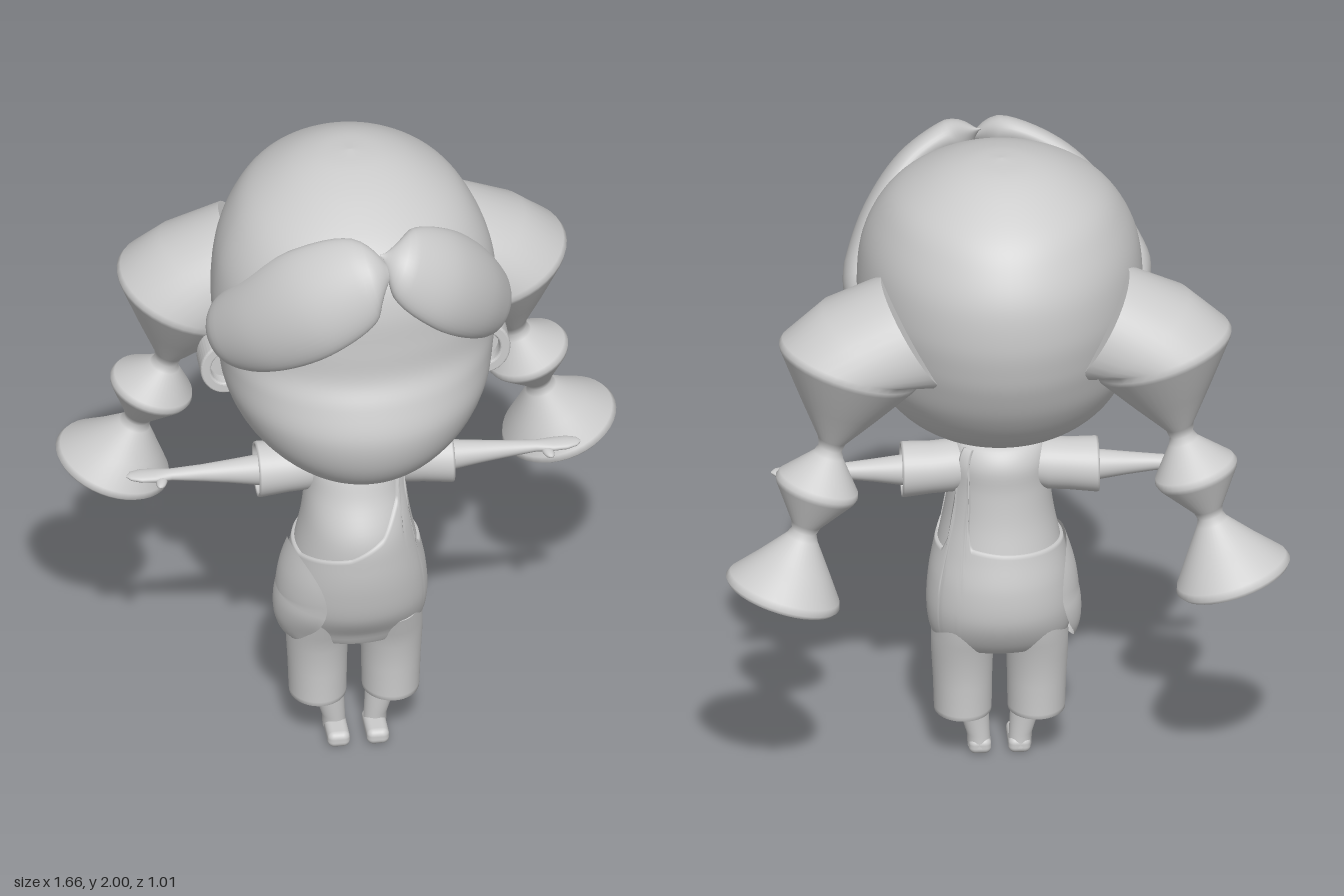
import * as THREE from 'three';
import { RoundedBoxGeometry } from 'three/addons/geometries/RoundedBoxGeometry.js';

const V = (a) => new THREE.Vector3(...a);
const grey = new THREE.MeshStandardMaterial({ color: 0xcccccc });
const greyThin = new THREE.MeshStandardMaterial({ color: 0xcccccc, side: THREE.DoubleSide });

function add(parent, name, geometry, material = grey) {
  const mesh = new THREE.Mesh(geometry, material);
  mesh.name = name;
  parent.add(mesh);
  return mesh;
}

// Skin closed rings of points into one surface, with optional flat end caps
function loft(rings, caps = true) {
  const n = rings[0].length, pos = [], idx = [];
  rings.forEach((r) => r.forEach((p) => pos.push(p.x, p.y, p.z)));
  for (let i = 0; i < rings.length - 1; i++) {
    for (let j = 0; j < n; j++) {
      const a = i * n + j, b = i * n + (j + 1) % n;
      idx.push(a, b, b + n, a, b + n, a + n);
    }
  }
  if (caps) {
    [rings[0], rings[rings.length - 1]].forEach((ring, end) => {
      const base = pos.length / 3;
      const mid = ring.reduce((s, p) => s.add(p), new THREE.Vector3()).divideScalar(n);
      [...ring, mid].forEach((p) => pos.push(p.x, p.y, p.z));
      for (let j = 0; j < n; j++) {
        const a = base + j, b = base + (j + 1) % n;
        idx.push(base + n, ...(end ? [a, b] : [b, a]));
      }
    });
  }
  const g = new THREE.BufferGeometry();
  g.setAttribute('position', new THREE.Float32BufferAttribute(pos, 3));
  g.setIndex(idx);
  g.computeVertexNormals();
  return g;
}

// Elliptical ring around direction t; ru lies along ref, rv across it; sag bends the ring
function ring(c, t, ru, rv, ref = V([0, 0, 1]), sag = 0, n = 40) {
  const T = t.clone().normalize();
  const U = ref.clone().addScaledVector(T, -ref.dot(T)).normalize();
  const W = new THREE.Vector3().crossVectors(T, U);
  return Array.from({ length: n }, (_, j) => {
    const a = j / n * Math.PI * 2, w = rv * Math.sin(a);
    return c.clone().addScaledVector(U, ru * Math.cos(a) - sag * w * w).addScaledVector(W, w);
  });
}

// Section table [y, front z, back z, half width, z of widest point] -> point at height and angle
function surface(rows) {
  const c1 = new THREE.CatmullRomCurve3(rows.map((r) => V(r.slice(0, 3))), false, 'catmullrom');
  const c2 = new THREE.CatmullRomCurve3(rows.map((r) => V([r[3], r[4], 0])), false, 'catmullrom');
  const at = (t, ang, off = 0) => {
    const p = c1.getPoint(t), q = c2.getPoint(t), c = Math.cos(ang);
    const depth = c > 0 ? p.y - q.y : q.y - p.z;
    return V([(Math.max(q.x, 0.001) + off) * Math.sin(ang), p.x, q.y + (Math.max(depth, 0.001) + off) * c]);
  };
  const atY = (y, ang, off) => {
    let i = 0;
    while (i < rows.length - 2 && rows[i + 1][0] < y) i++;
    return at((i + (y - rows[i][0]) / (rows[i + 1][0] - rows[i][0])) / (rows.length - 1), ang, off);
  };
  const rings = (steps, n) => Array.from({ length: steps + 1 }, (_, i) =>
    Array.from({ length: n }, (_, j) => at(i / steps, j / n * Math.PI * 2)));
  return { atY, rings };
}

const head = surface([
  [1.055, .28, .02, .10, .15], [1.07, .36, -.06, .18, .14], [1.12, .435, -.17, .265, .12],
  [1.2, .485, -.28, .34, .11], [1.3, .503, -.36, .388, .1], [1.4, .475, -.41, .405, .09],
  [1.48, .44, -.435, .415, .08], [1.58, .435, -.45, .42, .07], [1.7, .43, -.44, .405, .06],
  [1.8, .4, -.395, .365, .04], [1.88, .33, -.33, .305, .01], [1.95, .2, -.225, .205, -.01],
  [1.988, .08, -.13, .105, -.02], [2.0, -.019, -.021, .002, -.02]]);

const body = surface([
  [.35, .1, .03, .06, .065], [.37, .17, -.03, .16, .065], [.42, .2, -.075, .195, .065],
  [.5, .25, -.11, .207, .07], [.6, .275, -.112, .2, .08], [.7, .285, -.09, .18, .09],
  [.8, .28, -.068, .16, .09], [.9, .23, -.058, .148, .08], [.98, .2, -.058, .145, .075],
  [1.03, .165, -.03, .125, .07], [1.05, .13, .01, .08, .07]]);

// Upper edge of the one-shouldered overalls: [angle, height]
const edge = [[-3.15, .72], [-1.2, .7], [-.2, .745], [.37, .8], [.8, .89], [.88, 1.03], [1.08, 1.03],
  [1.15, .73], [1.3, .7], [2, .7], [2.1, .75], [2.15, 1.03], [2.45, 1.03], [2.5, .8], [2.6, .73], [3.15, .72]];
function edgeHeight(a) {
  const i = edge.findIndex((e, k) => k < edge.length - 1 && a <= edge[k + 1][0]);
  const [p, q] = [edge[i], edge[i + 1]];
  return THREE.MathUtils.lerp(p[1], q[1], (a - p[0]) / (q[0] - p[0]));
}

function overalls() {
  const n = 180, steps = 30, rings = [];
  for (let i = 0; i <= steps; i++) {
    rings.push(Array.from({ length: n }, (_, j) => {
      const a = (j / n * 2 - 1) * Math.PI;
      return body.atY(THREE.MathUtils.lerp(.38, edgeHeight(a), i / steps), a, .008);
    }));
  }
  // turn the upper edge in towards the shirt
  rings.push(rings[steps].map((p, j) => body.atY(p.y, (j / n * 2 - 1) * Math.PI, -.004)));
  return loft(rings, false);
}

// Oval bag following the hip, flaring at its lower end
function bag() {
  const rings = [];
  for (let i = 0; i <= 12; i++) {
    const r = Math.max(1 - i / 12, .001);
    rings.push(Array.from({ length: 48 }, (_, j) => {
      const a = j / 48 * Math.PI * 2, dy = r * Math.sin(a);
      return body.atY(.54 + .165 * dy, -1.35 + .85 * r * Math.cos(a), .016 + .012 * (1 - r * r) + .025 * Math.max(0, -dy));
    }));
  }
  return loft(rings, false);
}

// Leaf-shaped lock of the fringe along a path over the brow
function lock(points, widths) {
  const path = new THREE.CatmullRomCurve3(points.map(V), false, 'catmullrom');
  const width = new THREE.SplineCurve(widths.map((w, i) => new THREE.Vector2(i, w)));
  const middle = V([0, 1.5, 0]), rings = [];
  for (let i = 0; i <= 36; i++) {
    const t = i / 36, c = path.getPoint(t), w = Math.max(width.getPoint(t).y, .003);
    rings.push(ring(c, path.getTangent(t), Math.min(.055, w * .5), w, c.clone().sub(middle), 1.1));
  }
  return loft(rings);
}

// Beaded ponytail: [centre, axis, radius]; s mirrors it
function ponytail(s) {
  const dz = s > 0 ? -.012 : .012, d = [-.3, -.95, -.1];
  const rows = [
    [[-.27, 1.53, -.19], [-.86, -.5, 0], .19], [[-.37, 1.5, -.195], [-.55, -.8, 0], .207],
    [[-.452, 1.455, -.2], d, .214], [[-.46, 1.44, -.202], d, .216], [[-.464, 1.425, -.204], d, .209],
    [[-.49, 1.3, -.212], d, .12], [[-.512, 1.195, -.22], d, .042], [[-.517, 1.17, -.222], d, .036],
    [[-.522, 1.15, -.226], d, .045], [[-.552, 1.075, -.25], d, .12], [[-.558, 1.06, -.252], d, .126],
    [[-.563, 1.045, -.255], d, .12], [[-.592, .95, -.275], d, .045], [[-.597, .93, -.28], d, .038],
    [[-.603, .91, -.284], d, .047], [[-.63, .835, -.302], d, .11], [[-.657, .77, -.32], d, .168],
    [[-.663, .753, -.324], d, .175], [[-.667, .742, -.327], d, .165]];
  const flip = ([x, y, z]) => V([-s * x, y, z]);
  return loft(rows.map(([c, t, r]) => ring(flip(c).add(V([0, 0, dz])), flip(t), r, r)));
}

// Sideways limb parts: [x, y, z, depth radius, height radius]
const limb = (rows, s) => loft(rows.map(([x, y, z, rz, ry]) => ring(V([s * x, y, z]), V([s, 0, 0]), rz, ry)));
// Upright parts: [x, y, z, depth radius, width radius]
const post = (rows, s) => loft(rows.map(([x, y, z, rz, rx]) => ring(V([s * x, y, z]), V([0, 1, 0]), rz, rx)));

function ear(parent, s) {
  const g = new THREE.Group();
  g.name = s > 0 ? 'leftEar' : 'rightEar';
  const oval = (k, Type) => new Type().absellipse(0, 0, .068 * k, .08 * k, 0, Math.PI * 2);
  const rim = oval(1, THREE.Shape);
  rim.holes.push(oval(.72, THREE.Path));
  add(g, 'earRim', new THREE.ExtrudeGeometry(rim, { depth: .08, bevelSize: .006, bevelThickness: .008, bevelSegments: 3, curveSegments: 24 }));
  add(g, 'earHollow', new THREE.ExtrudeGeometry(oval(.78, THREE.Shape), { depth: .045, bevelEnabled: false, curveSegments: 24 }));
  g.position.set(s * .385, 1.335, .015);
  parent.add(g);
}

export function createModel() {
  const model = new THREE.Group();
  model.name = 'figure';

  add(model, 'head', loft(head.rings(78, 72)));
  add(model, 'fringeRight', lock([[.075, 1.85, .41], [-.02, 1.84, .42], [-.18, 1.75, .395], [-.31, 1.63, .31],
    [-.4, 1.52, .18], [-.43, 1.46, .08]], [0, .125, .165, .15, .105, 0]));
  add(model, 'fringeLeft', lock([[.035, 1.89, .38], [.11, 1.86, .39], [.24, 1.77, .355], [.345, 1.65, .26],
    [.41, 1.52, .13], [.43, 1.45, .05]], [0, .11, .15, .14, .095, 0]));

  add(model, 'neck', new THREE.CylinderGeometry(.075, .08, .12, 32)).position.set(0, 1.05, .09);
  add(model, 'collar', new THREE.CylinderGeometry(.1, .088, .04, 40, 1, true), greyThin).position.set(0, 1.04, .09);
  add(model, 'shirt', loft(body.rings(50, 64)));
  add(model, 'overalls', overalls(), greyThin);
  add(model, 'hipBag', bag(), greyThin);

  for (const s of [1, -1]) {
    const side = s > 0 ? 'left' : 'right';
    add(model, side + 'Ponytail', ponytail(s));
    ear(model, s);

    // Sleeve with an open, lipped cuff
    add(model, side + 'Sleeve', limb([[.08, .955, .06, .07, .065], [.14, .95, .06, .08, .078], [.2, .945, .06, .08, .077],
      [.283, .94, .06, .085, .082], [.29, .94, .06, .083, .08], [.287, .94, .06, .074, .071], [.22, .94, .06, .068, .066]], s));
    add(model, side + 'Arm', limb([[.2, .938, .06, .05, .05], [.29, .938, .06, .044, .045], [.37, .94, .059, .035, .034],
      [.45, .941, .058, .026, .025], [.54, .942, .055, .021, .016], [.59, .943, .055, .03, .014],
      [.63, .944, .054, .03, .013], [.66, .945, .053, .02, .009], [.672, .945, .053, .004, .003]], s));
    const thumb = add(model, side + 'Thumb', new THREE.SphereGeometry(1, 16, 12));
    thumb.scale.set(.016, .011, .033);
    thumb.position.set(s * .572, .937, .083);
    thumb.rotation.y = s * .25;

    // Trouser leg: inner wall, hem, then outer wall
    add(model, side + 'TrouserLeg', post([[.108, .24, .065, .08, .068], [.108, .15, .065, .086, .074], [.108, .145, .065, .09, .078],
      [.108, .147, .065, .096, .084], [.108, .16, .065, .096, .085], [.109, .25, .065, .098, .087],
      [.11, .34, .065, .106, .091], [.108, .4, .065, .125, .094], [.105, .46, .07, .14, .09]], s));
    add(model, side + 'Shin', post([[.06, .02, .07, .036, .034], [.062, .06, .072, .034, .034], [.078, .15, .075, .043, .046],
      [.085, .25, .07, .05, .05]], s));
    const foot = add(model, side + 'Foot', new RoundedBoxGeometry(.066, .05, .14, 4, .02));
    foot.position.set(s * .058, .025, .105);
  }
  return model;
}
